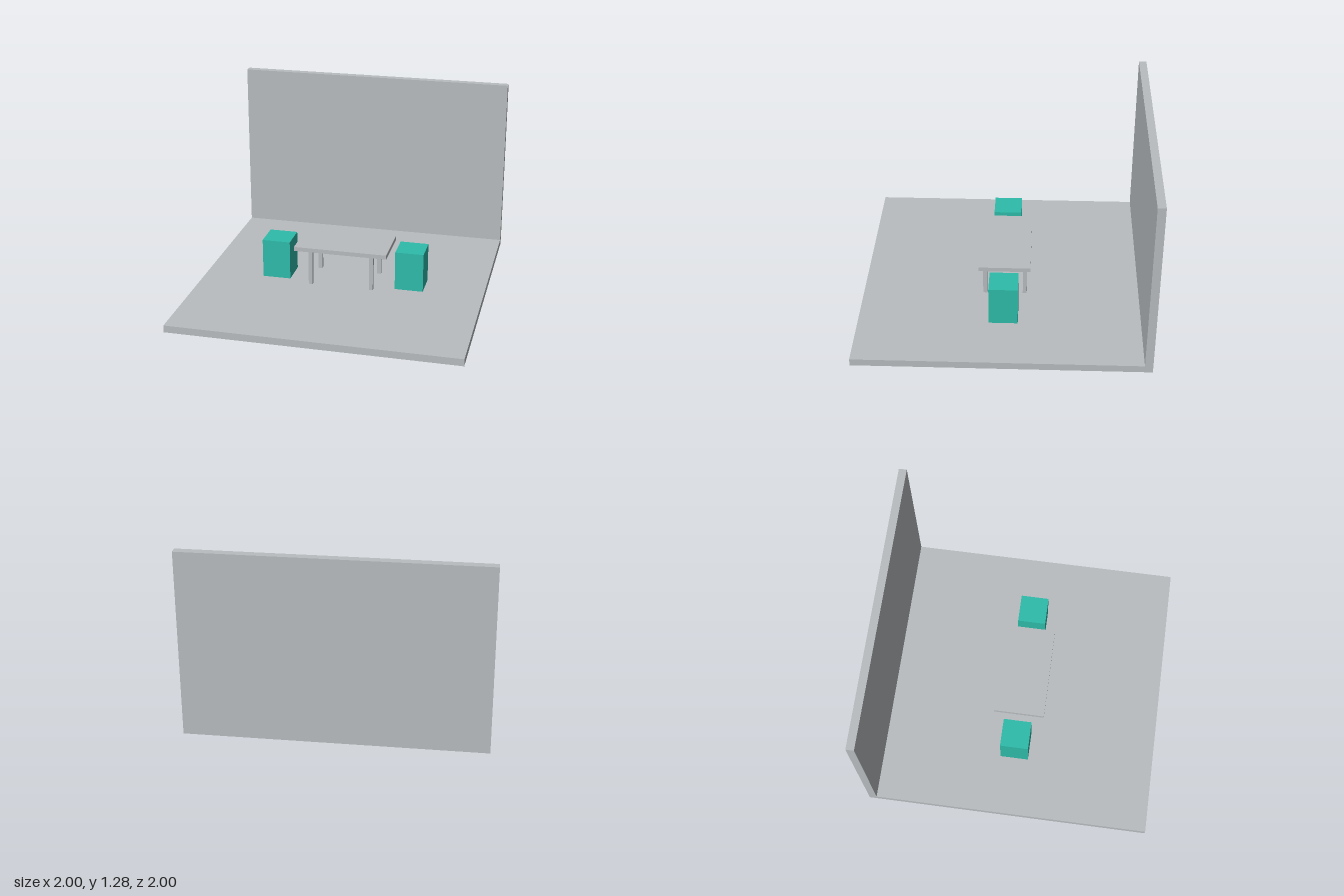
import * as THREE from 'three';

export function createModel() {
  const model = new THREE.Group();
  model.name = 'diningCorner';
  const grey = new THREE.MeshStandardMaterial({ color: 0xb9bdc0 });
  grey.name = 'light grey';
  const teal = new THREE.MeshStandardMaterial({ color: 0x2ebcaa });
  teal.name = 'teal';

  // Box placed by its centre in x and z and its bottom in y
  function box(parent, name, material, w, h, d, x, bottom, z) {
    const mesh = new THREE.Mesh(new THREE.BoxGeometry(w, h, d), material);
    mesh.name = name;
    mesh.position.set(x, bottom + h / 2, z);
    parent.add(mesh);
  }

  // Floor and back wall: one L-shaped profile swept along x
  const profile = new THREE.Shape();
  profile.moveTo(-1, 0);
  profile.lineTo(1, 0);
  profile.lineTo(1, 1.28);
  profile.lineTo(0.945, 1.28);
  profile.lineTo(0.945, 0.05);
  profile.lineTo(-1, 0.05);
  profile.closePath();
  const shell = new THREE.ExtrudeGeometry(profile, { depth: 2, bevelEnabled: false });
  shell.translate(0, 0, -1).rotateY(Math.PI / 2);
  const room = new THREE.Mesh(shell, grey);
  room.name = 'floorAndBackWall';
  model.add(room);

  // Table
  const floorTop = 0.05;
  const table = new THREE.Group();
  table.name = 'table';
  model.add(table);
  box(table, 'tableTop', grey, 0.66, 0.03, 0.36, 0, 0.305, 0);
  for (const sx of [-1, 1]) {
    for (const sz of [-1, 1]) {
      box(table, 'tableLeg', grey, 0.028, 0.255, 0.028, sx * 0.218, floorTop, sz * 0.14);
    }
  }

  // Block stools at each end of the table
  box(model, 'rightStool', teal, 0.2, 0.28, 0.2, -0.483, floorTop, 0);
  box(model, 'leftStool', teal, 0.2, 0.28, 0.2, 0.478, floorTop, 0);

  return model;
}
